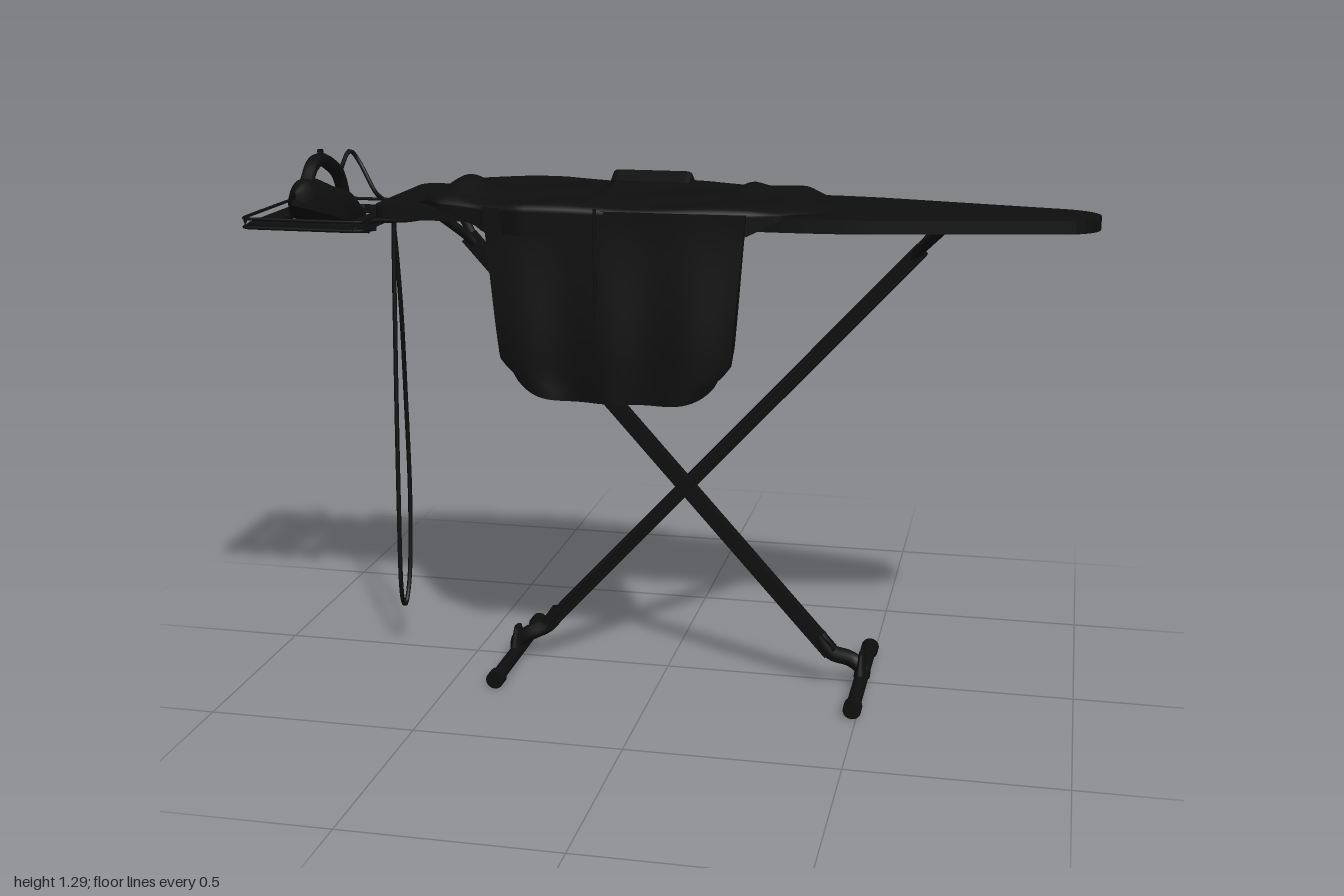
import * as THREE from 'three';

const dark = new THREE.MeshStandardMaterial({ color: 0x0e0e0e, side: THREE.DoubleSide });
const V = (x, y, z) => new THREE.Vector3(x, y, z);
const smooth = THREE.MathUtils.smoothstep;
const lerp = THREE.MathUtils.lerp;
const ZC = 0.02; // centre line of the board

function add(parent, name, geo) {
  const m = new THREE.Mesh(geo, dark);
  m.name = name;
  parent.add(m);
  return m;
}
function tube(parent, name, pts, r, closed = false, seg = 48, tension = 0.5) {
  const c = new THREE.CatmullRomCurve3(pts.map(p => V(...p)), closed, 'catmullrom', tension);
  return add(parent, name, new THREE.TubeGeometry(c, seg, r, 8, closed));
}
function box(parent, name, size, pos) {
  const m = add(parent, name, new THREE.BoxGeometry(...size));
  m.position.set(...pos);
  return m;
}
// Piecewise linear lookup
function curveAt(xs, ys, x) {
  let i = 0;
  while (i < xs.length - 2 && x > xs[i + 1]) i++;
  return lerp(ys[i], ys[i + 1], THREE.MathUtils.clamp((x - xs[i]) / (xs[i + 1] - xs[i]), 0, 1));
}
function roundRect(P, x0, x1, y0, y1, r) {
  const s = new P();
  s.moveTo(x0 + r, y0); s.lineTo(x1 - r, y0); s.quadraticCurveTo(x1, y0, x1, y0 + r);
  s.lineTo(x1, y1 - r); s.quadraticCurveTo(x1, y1, x1 - r, y1);
  s.lineTo(x0 + r, y1); s.quadraticCurveTo(x0, y1, x0, y1 - r);
  s.lineTo(x0, y0 + r); s.quadraticCurveTo(x0, y0, x0 + r, y0);
  return s;
}
// Extrude a plan shape (x, -z) upwards from y
function slab(parent, name, shape, y, h) {
  const g = new THREE.ExtrudeGeometry(shape, { depth: h, bevelEnabled: false, curveSegments: 12 });
  g.rotateX(-Math.PI / 2);
  g.translate(0, y, 0);
  return add(parent, name, g);
}
// Grid surface from a function (u, v) -> Vector3
function grid(parent, name, f, nu, nv) {
  const g = new THREE.PlaneGeometry(1, 1, nu, nv), p = g.attributes.position;
  for (let i = 0; i < p.count; i++) {
    const q = f(p.getX(i) + 0.5, p.getY(i) + 0.5);
    p.setXYZ(i, q.x, q.y, q.z);
  }
  g.computeVertexNormals();
  return add(parent, name, g);
}

function buildBoard(root) {
  const s = new THREE.Shape(), c = -ZC;
  s.moveTo(-0.62, c - 0.19);
  s.lineTo(0.3, c - 0.19);
  s.quadraticCurveTo(0.42, c - 0.188, 0.5, c - 0.174);
  s.lineTo(0.92, c - 0.085);
  s.bezierCurveTo(1.026, c - 0.06, 1.026, c + 0.06, 0.92, c + 0.085);
  s.lineTo(0.5, c + 0.174);
  s.quadraticCurveTo(0.42, c + 0.188, 0.3, c + 0.19);
  s.lineTo(-0.62, c + 0.19);
  s.quadraticCurveTo(-0.66, c + 0.19, -0.66, c + 0.15);
  s.lineTo(-0.66, c - 0.15);
  s.quadraticCurveTo(-0.66, c - 0.19, -0.62, c - 0.19);
  slab(root, 'board', s, 1.147, 0.031);
  // Rails under the top
  for (const z of [-0.05, 0.05]) box(root, 'underRail', [1.25, 0.012, 0.015], [0.05, 1.142, ZC + z]);
}

// One leg with its foot bar; dir is the side its foot stands on
function buildLeg(root, footX, topX, z) {
  const g = new THREE.Group(), d = Math.sign(footX);
  g.name = 'leg';
  const a = V(footX - d * 0.075, 0.09, z), b = V(topX + d * 0.05, 1.085, z);
  const bar = box(g, 'legBar', [0.034, a.distanceTo(b), 0.033], a.clone().lerp(b, 0.5).toArray());
  bar.rotation.z = Math.atan2(a.x - b.x, b.y - a.y);
  // Bent socket down to the foot bar
  tube(g, 'footSocket', [[a.x - d * 0.03, 0.13, z], [a.x, 0.09, z], [footX - d * 0.03, 0.068, ZC], [footX, 0.045, ZC], [footX, 0.02, ZC]], 0.02, false, 20);
  const flare = add(g, 'footFlare', new THREE.CylinderGeometry(0.02, 0.045, 0.06, 12));
  flare.scale.x = 0.4;
  flare.position.set(footX, 0.055, ZC);
  const rod = (name, r, len, zc) => {
    const m = add(g, name, new THREE.CylinderGeometry(r, r, len, 16));
    m.rotation.x = Math.PI / 2;
    m.position.set(footX, 0.022, zc);
  };
  rod('footBar', 0.017, 0.4, ZC + 0.003);
  for (const k of [-1, 1]) rod('footCap', 0.022, 0.03, ZC + 0.003 + k * 0.19);
  // Forked bracket under the board
  for (const k of [-1, 1])
    tube(g, 'topBracket', [[b.x + d * 0.03, 1.055, z], [b.x, 1.09, z + k * 0.02], [topX, 1.145, z + k * 0.07]], 0.012, false, 16);
  root.add(g);
}

function buildRack(root) {
  // Plan shape uses y = -z
  const s = roundRect(THREE.Shape, -0.985, -0.695, -0.195, 0.15, 0.03);
  s.holes.push(roundRect(THREE.Path, -0.93, -0.75, -0.125, 0.085, 0.01));
  slab(root, 'rackPlate', s, 1.11, 0.012);
  const e = [[-0.97, -0.155], [-0.71, -0.155], [-0.69, -0.13], [-0.69, 0.18], [-0.71, 0.205], [-0.97, 0.205], [-0.99, 0.18], [-0.99, -0.13]];
  for (const y of [1.114, 1.135]) tube(root, 'rackRail', e.map(p => [p[0], y, p[1]]), 0.004, true, 96, 0.15);
  for (const [x, z] of e.filter((_, i) => i % 2 === 0))
    tube(root, 'rackPost', [[x, 1.112, z], [x, 1.137, z]], 0.004, false, 2);
  for (const z of [-0.1, 0.06, 0.14])
    tube(root, 'rackHanger', [[-0.72, 1.118, z], [-0.68, 1.13, z], [-0.6, 1.135, z], [-0.54, 1.146, z]], 0.006, false, 20);
}

function buildIron(root) {
  const iron = new THREE.Group();
  iron.name = 'iron';
  const outline = new THREE.Shape(); // y = -z, nose towards +z
  outline.moveTo(-0.06, 0.17);
  outline.lineTo(0.06, 0.17);
  outline.bezierCurveTo(0.085, 0.02, 0.06, -0.09, 0, -0.185);
  outline.bezierCurveTo(-0.06, -0.09, -0.085, 0.02, -0.06, 0.17);
  slab(iron, 'soleplate', outline, 0, 0.014);
  // Body: arched sections along the length
  const zs = [-0.165, -0.1, 0, 0.08, 0.14, 0.175];
  grid(iron, 'ironBody', (u, v) => {
    const z = lerp(-0.165, 0.175, u), t = Math.PI * v;
    const w = curveAt(zs, [0.05, 0.062, 0.066, 0.052, 0.03, 0.004], z);
    const h = curveAt(zs, [0.07, 0.085, 0.075, 0.075, 0.06, 0.02], z);
    return V(w * Math.cos(t), 0.012 + h * Math.pow(Math.sin(t), 0.8), z);
  }, 24, 16);
  box(iron, 'heelPlate', [0.095, 0.06, 0.012], [0, 0.04, -0.162]);
  for (const k of [-1, 1]) {
    const foot = box(iron, 'heelFoot', [0.03, 0.02, 0.02], [k * 0.06, 0.016, -0.165]);
    foot.rotation.y = -k * 0.5;
  }
  tube(iron, 'handle', [[0, 0.07, 0.11], [0, 0.115, 0.085], [0, 0.14, 0.04], [0, 0.142, -0.02], [0, 0.13, -0.08], [0, 0.09, -0.125], [0, 0.05, -0.14]], 0.017, false, 40);
  tube(iron, 'thumbButton', [[0, 0.14, 0.03], [0, 0.162, 0.045]], 0.008, false, 4);
  iron.position.set(-0.84, 1.116, 0.075);
  iron.rotation.x = -0.34;
  root.add(iron);

  // Power cord: arch over the rack, then a long hanging loop
  tube(root, 'cord', [[-0.84, 1.19, -0.04], [-0.845, 1.23, -0.09], [-0.84, 1.258, -0.13], [-0.82, 1.225, -0.145], [-0.77, 1.16, -0.11],
    [-0.72, 1.14, -0.06], [-0.69, 1.11, -0.012], [-0.685, 0.9, -0.03], [-0.69, 0.65, -0.055], [-0.69, 0.4, -0.06], [-0.69, 0.2, -0.04],
    [-0.69, 0.115, 0], [-0.69, 0.17, 0.03], [-0.69, 0.4, 0.025], [-0.69, 0.8, 0.005], [-0.685, 1.1, -0.005], [-0.66, 1.14, 0.02]], 0.0055, false, 200);
  box(root, 'cordClip', [0.04, 0.02, 0.03], [-0.7, 1.135, -0.03]);
}

function buildShirt(root) {
  const xs = [-0.57, -0.5, -0.4, -0.3, -0.1, 0.1, 0.2, 0.3, 0.42];
  const zBack = [-0.1, -0.19, -0.22, -0.235, -0.23, -0.225, -0.22, -0.19, -0.06];
  const zFront = [0.14, 0.215, 0.222, 0.245, 0.235, 0.23, 0.225, 0.215, 0.1];
  const folds = [[-0.46, 0.08, 0.042, 0.055, 0.09], [-0.13, 0, 0.024, 0.025, 0.1], [0.2, -0.02, 0.026, 0.04, 0.09], [0.31, 0.05, 0.012, 0.07, 0.04]];
  const top = (x, z) => {
    let y = 1.196 + 0.004 * Math.sin(17 * x + 24 * z);
    for (const [fx, fz, h, sx, sz] of folds) y += h * Math.exp(-(((x - fx) / sx) ** 2) - ((z - fz) / sz) ** 2);
    return lerp(1.179, y, smooth(x, -0.57, -0.53) * (1 - smooth(x, 0.3, 0.42)));
  };
  // Cloth over the board with short turned-down hems
  grid(root, 'shirtTop', (u, v) => {
    const x = lerp(-0.57, 0.42, u), zb = curveAt(xs, zBack, x), zf = curveAt(xs, zFront, x);
    const t = THREE.MathUtils.clamp((v - 0.15) / 0.7, 0, 1), z = lerp(zb, zf, t);
    const over = t < 0.5 ? -0.175 - zb : zf - 0.212;
    const hem = lerp(1.179, 1.125, smooth(over, 0, 0.015));
    const edge = Math.min(t, 1 - t), drop = Math.max(0, Math.abs(v - 0.5) - 0.35) / 0.15;
    const y = lerp(1.179, top(x, z), Math.sqrt(smooth(edge, -0.03, 0.06)));
    return V(x, lerp(y, hem, drop), z);
  }, 72, 48);

  // Double-layered front panel hanging down
  const g = new THREE.BoxGeometry(2, 1, 1, 40, 24, 2), p = g.attributes.position;
  for (let i = 0; i < p.count; i++) {
    const s = p.getX(i), t = 0.5 - p.getY(i), k = p.getZ(i);
    const x = lerp(-0.08, -0.075, t) + s * (lerp(0.305, 0.265, t) - 0.035 * smooth(t, 0.86, 1));
    const y = lerp(1.185, 0.742 + 0.045 * s ** 6 + (k < 0 ? 0.025 : 0), t);
    const z = lerp(0.226, 0.222, t) + k * lerp(0.018, 0.055, smooth(t, 0, 0.8)) + 0.006 * t * Math.sin(9 * s + 2);
    p.setXYZ(i, x, y, z);
  }
  g.computeVertexNormals();
  add(root, 'shirtPanel', g);
  // Button placket down the panel
  tube(root, 'placket', [[-0.12, 1.19, 0.236], [-0.118, 1.0, 0.245], [-0.115, 0.76, 0.247]], 0.004, false, 24);

  // Sleeve end folded over the back edge
  const c = new THREE.Shape([[-0.2, 1.212], [-0.243, 1.185], [-0.25, 1.13], [-0.234, 1.042], [-0.202, 1.052], [-0.188, 1.09], [-0.2, 1.15], [-0.17, 1.195]]
    .map(q => new THREE.Vector2(-q[0], q[1])));
  const sleeve = new THREE.ExtrudeGeometry(c, { depth: 0.17, bevelSize: 0.008, bevelThickness: 0.015, bevelSegments: 3 });
  sleeve.rotateY(Math.PI / 2);
  sleeve.translate(-0.165, 0, 0);
  add(root, 'sleeve', sleeve);
}

export function createModel() {
  const root = new THREE.Group();
  root.name = 'ironingBoard';
  buildBoard(root);
  buildLeg(root, 0.49, -0.53, 0.041);
  buildLeg(root, -0.385, 0.65, 0.006);
  const pivot = add(root, 'pivot', new THREE.CylinderGeometry(0.014, 0.014, 0.075, 12));
  pivot.rotation.x = Math.PI / 2;
  pivot.position.set(0.06, 0.5, 0.024);
  buildRack(root);
  buildIron(root);
  buildShirt(root);
  return root;
}
